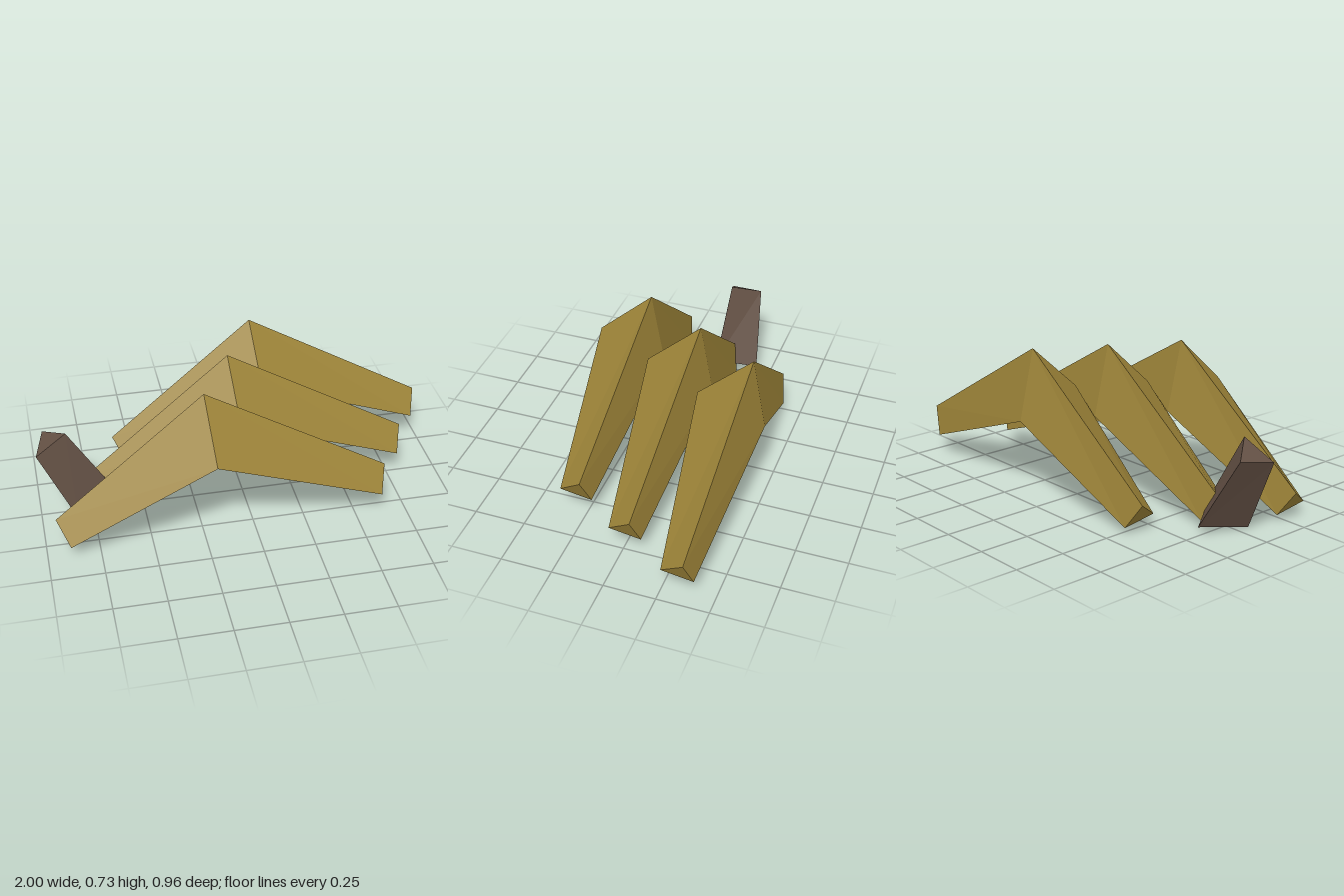
import * as THREE from 'three';

const GOLD = 0x9c8338, BROWN = 0x635044;

// Flat-shaded solid lofted through triangular cross-sections, capped at both ends.
// Corners run counter-clockwise when looking back from the last section.
function loft(sections, color, name) {
  const pos = [];
  const tri = (a, b, c) => pos.push(...a, ...b, ...c);
  for (let i = 0; i < sections.length - 1; i++) {
    const s = sections[i], t = sections[i + 1];
    for (let k = 0; k < 3; k++) {
      const n = (k + 1) % 3;
      tri(s[k], s[n], t[n]);
      tri(s[k], t[n], t[k]);
    }
  }
  const [a, b, c] = sections[0];
  tri(a, c, b);
  tri(...sections[sections.length - 1]);
  const geometry = new THREE.BufferGeometry();
  geometry.setAttribute('position', new THREE.Float32BufferAttribute(pos, 3));
  geometry.computeVertexNormals();
  const mesh = new THREE.Mesh(geometry, new THREE.MeshStandardMaterial({ color, flatShading: true }));
  mesh.name = name;
  return mesh;
}

export function createModel() {
  const model = new THREE.Group();
  model.name = 'bentClaws';

  // Bent claw: right tip, knuckle, left tip; each section is ridge, front edge, back edge
  const claw = [
    [[-0.945, 0.15, 0.25], [-0.89, 0.066, 0.368], [-0.862, 0.027, 0.22]],
    [[-0.225, 0.73, 0.215], [-0.214, 0.496, 0.48], [-0.21, 0.383, 0.145]],
    [[0.652, 0.235, 0.25], [0.61, 0.141, 0.368], [0.59, 0.097, 0.22]],
  ];

  // Three equal claws, stepping back and to the left
  ['frontClaw', 'middleClaw', 'backClaw'].forEach((name, i) => {
    const mesh = loft(claw, GOLD, name);
    mesh.position.set(0.173 * i, 0, -0.3125 * i);
    model.add(mesh);
  });

  // Tapered brown stub across the tip of the middle claw
  model.add(loft([
    [[-1, 0.365, 0.03], [-0.955, 0.395, -0.137], [-0.852, 0.455, -0.005]],
    [[-0.828, 0, 0.065], [-0.755, 0.045, -0.183], [-0.64, 0.115, 0.01]],
  ], BROWN, 'stub'));

  return model;
}
